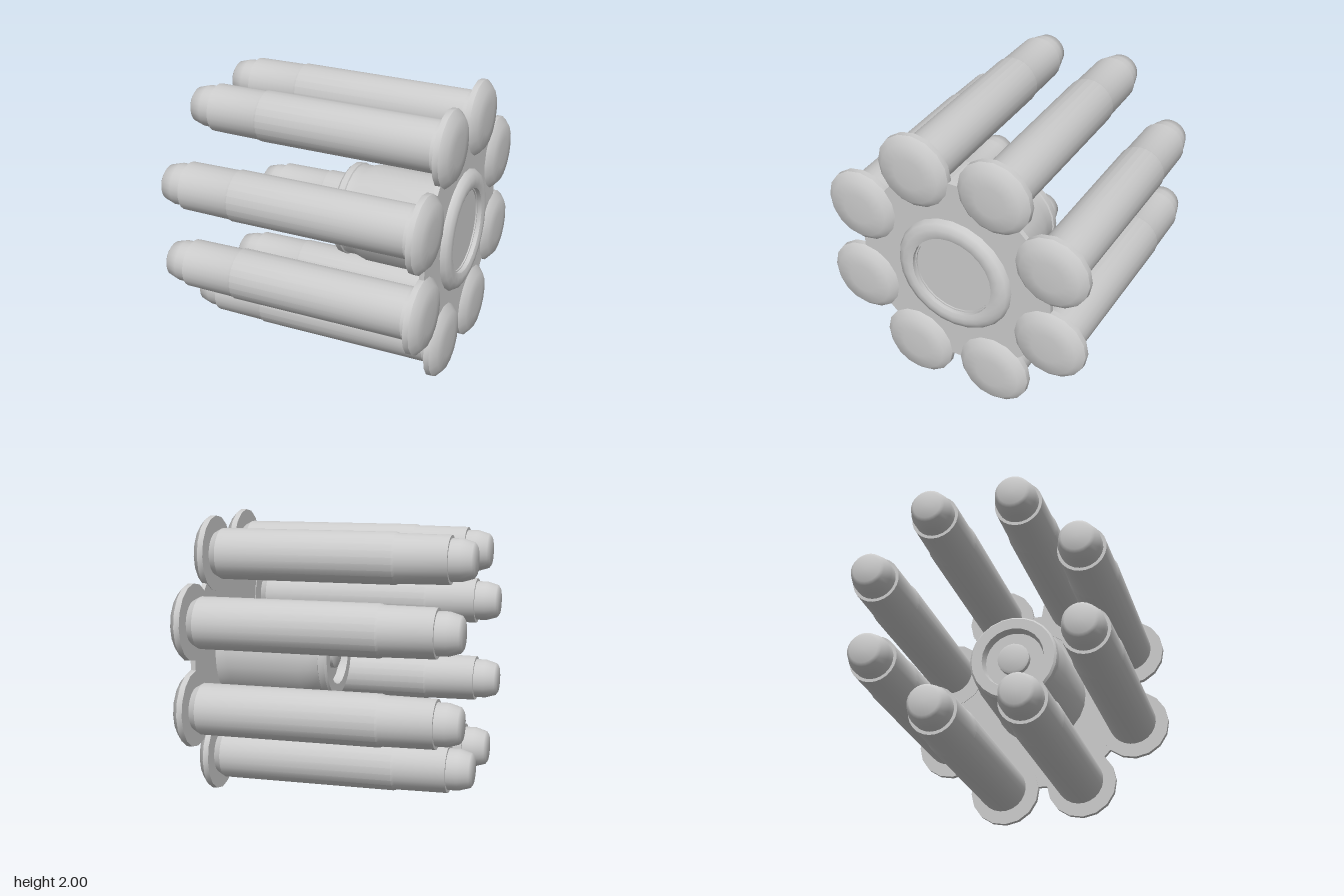
import * as THREE from 'three';
import { toCreasedNormals } from 'three/addons/utils/BufferGeometryUtils.js';

const material = new THREE.MeshStandardMaterial({ color: 0xcccccc });

// Turned part along x; profile is a list of [x, radius] running towards +x.
function turned(name, profile, sides, crease) {
  const points = profile.map(([x, r]) => new THREE.Vector2(r, x));
  const geometry = new THREE.LatheGeometry(points, sides).rotateZ(-Math.PI / 2);
  const mesh = new THREE.Mesh(toCreasedNormals(geometry, crease), material);
  mesh.name = name;
  return mesh;
}

// One pin: rounded tip, stepped shaft and domed rim
function createPin() {
  const pin = new THREE.Group();
  pin.add(
    turned('tip', [
      [-0.98, 0], [-0.98, 0.1], [-0.965, 0.122], [-0.885, 0.146], [-0.79, 0.146],
    ], 24, 0.8),
    turned('shaft', [
      [-0.81, 0.14], [-0.81, 0.168], [-0.45, 0.172], [-0.43, 0.18],
      [0.83, 0.18], [0.885, 0.15],
    ], 24, 0.45),
    turned('rim', [
      [0.88, 0], [0.88, 0.267], [0.92, 0.267], [0.965, 0.215], [0.975, 0.11], [0.977, 0],
    ], 16, 0.75),
  );
  return pin;
}

export function createModel() {
  const model = new THREE.Group();
  model.name = 'pinHolder';
  const core = new THREE.Group();
  core.name = 'core';
  core.position.y = 1;
  model.add(core);

  // Eight pins in a ring
  const count = 8, ringRadius = 0.787, offset = THREE.MathUtils.degToRad(21.6);
  for (let i = 0; i < count; i++) {
    const a = offset + (i * 2 * Math.PI) / count;
    const pin = createPin();
    pin.name = `pin${i + 1}`;
    pin.position.set(0, ringRadius * Math.cos(a), ringRadius * Math.sin(a));
    pin.rotation.x = a;
    core.add(pin);
  }

  // Octagonal plate holding the rims
  const plateGeometry = new THREE.CylinderGeometry(0.785, 0.785, 0.035, 8)
    .rotateY(Math.PI / 8).rotateZ(-Math.PI / 2);
  const plate = new THREE.Mesh(toCreasedNormals(plateGeometry, 0.4), material);
  plate.name = 'plate';
  plate.position.x = 0.9025;
  core.add(plate);

  // Rounded boss with a stepped recess on the outer face
  core.add(turned('boss', [
    [0.9, 0.435], [0.925, 0.435], [0.955, 0.415], [0.973, 0.375], [0.975, 0.335],
    [0.965, 0.305], [0.935, 0.305], [0.935, 0.295], [0.925, 0.295], [0.925, 0],
  ], 24, 0.8));

  // Central hub with a collar and a hollow inner end
  core.add(turned('hub', [
    [0.13, 0], [0.13, 0.22], [0.07, 0.235], [0.07, 0.315], [0.085, 0.33], [0.13, 0.335],
    [0.135, 0.325], [0.2, 0.325], [0.28, 0.35], [0.8, 0.355], [0.89, 0.365],
  ], 24, 0.6));

  // Button inside the hollow
  core.add(turned('button', [
    [0.08, 0], [0.08, 0.1], [0.09, 0.12], [0.14, 0.12],
  ], 20, 0.8));

  return model;
}
